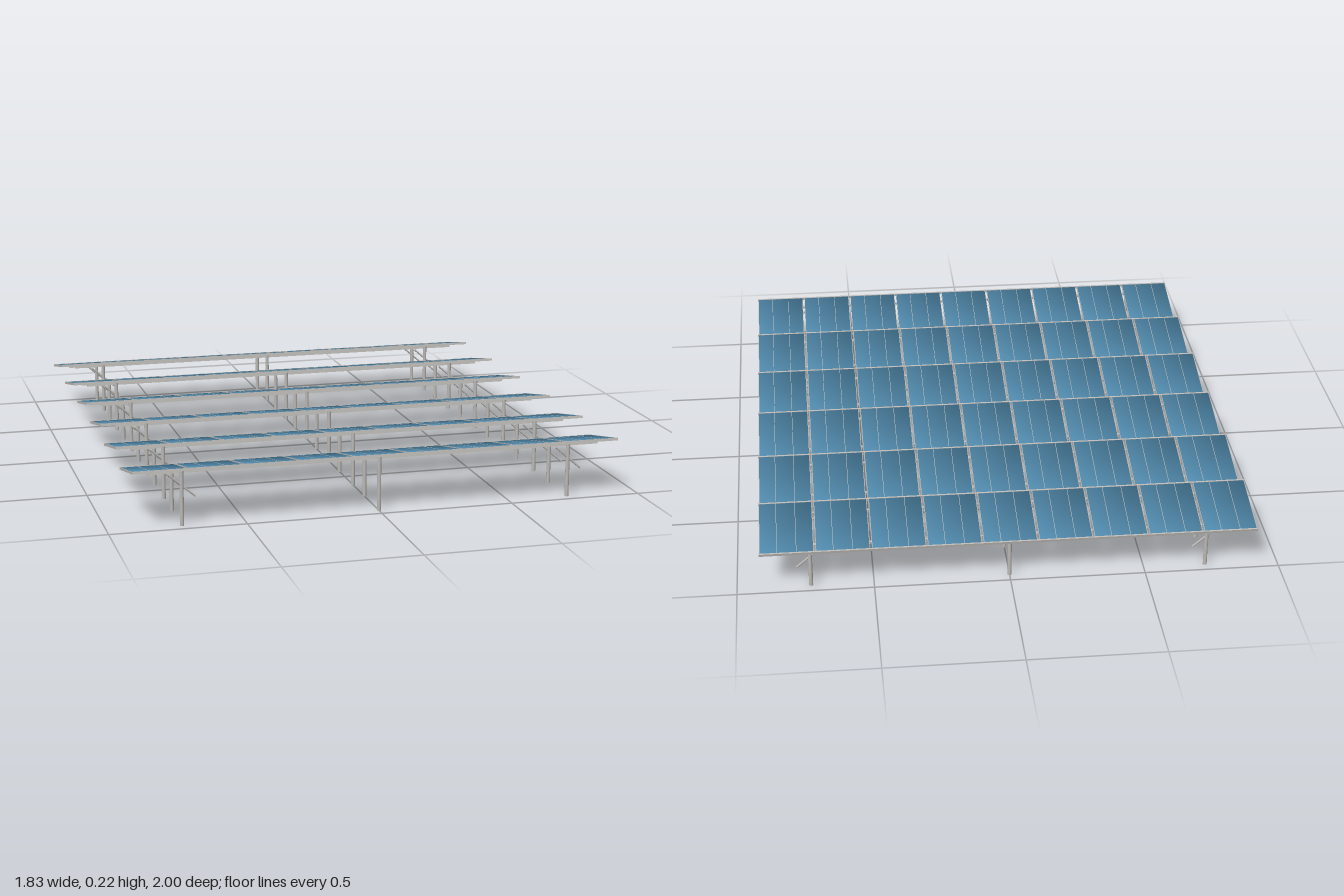
import * as THREE from 'three';

const TILT = 0.205;          // radians, front edge high
const ROWS = 6, ROW_PITCH = 0.3466, ROW_Y = 0.189;
const PANELS = 9, PITCH = 0.2032;
const SLOPE = Math.tan(TILT);

// Box whose corner normals are shared, giving a softly rounded shade
function softBox(w, h, d) {
  const g = new THREE.BoxGeometry(w, h, d);
  const p = g.attributes.position, n = g.attributes.normal, v = new THREE.Vector3();
  for (let i = 0; i < p.count; i++) {
    v.set(Math.sign(p.getX(i)), Math.sign(p.getY(i)), Math.sign(p.getZ(i))).normalize();
    n.setXYZ(i, v.x, v.y, v.z);
  }
  return g;
}

export function createModel() {
  const model = new THREE.Group();
  model.name = 'solarPanelArray';

  const blue = new THREE.MeshStandardMaterial({ color: 0x548fb3 });
  blue.name = 'panelBlue';
  const steel = new THREE.MeshStandardMaterial({ color: 0xbcb9b6 });
  steel.name = 'steelGrey';

  function add(parent, name, geometry, material, x, y, z) {
    const m = new THREE.Mesh(geometry, material);
    m.name = name;
    m.position.set(x, y, z);
    parent.add(m);
    return m;
  }

  // Round bar between two points
  function bar(parent, name, a, b, r) {
    const d = b.clone().sub(a);
    const m = add(parent, name, new THREE.CylinderGeometry(r, r, d.length(), 10), steel, 0, 0, 0);
    m.position.copy(a).add(b).multiplyScalar(0.5);
    m.quaternion.setFromUnitVectors(new THREE.Vector3(0, 1, 0), d.normalize());
  }

  const panelGeo = softBox(0.192, 0.007, 0.262);
  const sideFrameGeo = new THREE.BoxGeometry(0.002, 0.009, 0.262);
  const cellLineGeo = new THREE.BoxGeometry(0.0018, 0.001, 0.262);
  const edgeGeo = new THREE.BoxGeometry(1.826, 0.01, 0.006);
  const purlinGeo = new THREE.BoxGeometry(1.7, 0.009, 0.009);

  for (let r = 0; r < ROWS; r++) {
    const row = new THREE.Group();
    row.name = 'panelRow';
    row.position.z = (r - (ROWS - 1) / 2) * ROW_PITCH;
    model.add(row);

    // Tilted table of panels with edge rails and purlins
    const table = new THREE.Group();
    table.name = 'tiltedTable';
    table.position.y = ROW_Y;
    table.rotation.x = -TILT;
    row.add(table);
    for (let i = 0; i < PANELS; i++) {
      const x = (i - (PANELS - 1) / 2) * PITCH;
      add(table, 'panel', panelGeo, blue, x, 0, 0);
      // Metal side frames and thin pale lines between the cell columns
      for (const s of [-1, 1]) {
        add(table, 'sideFrame', sideFrameGeo, steel, x + s * 0.097, 0, 0);
        add(table, 'cellLine', cellLineGeo, steel, x + s * 0.035, 0.0037, 0);
      }
    }
    for (const s of [-1, 1]) {
      add(table, 'edgeRail', edgeGeo, steel, 0, 0, s * 0.133);
      add(table, 'purlin', purlinGeo, steel, 0, -0.010, s * 0.084);
    }

    // Posts, front and back, with a slanted brace at each outer one
    for (const s of [-1, 1]) {
      const z = s * 0.095;
      const top = ROW_Y + z * SLOPE - 0.003;
      const braceTop = 0.178 + s * 0.013;
      for (const x of [-0.73, 0, 0.73]) {
        add(row, 'post', new THREE.CylinderGeometry(0.0075, 0.0075, top, 12), steel, x, top / 2, z);
        if (x !== 0) {
          bar(row, 'brace',
            new THREE.Vector3(x - 0.048, braceTop, z),
            new THREE.Vector3(x + 0.05, braceTop - 0.085, z), 0.0038);
        }
      }
    }
  }
  return model;
}
